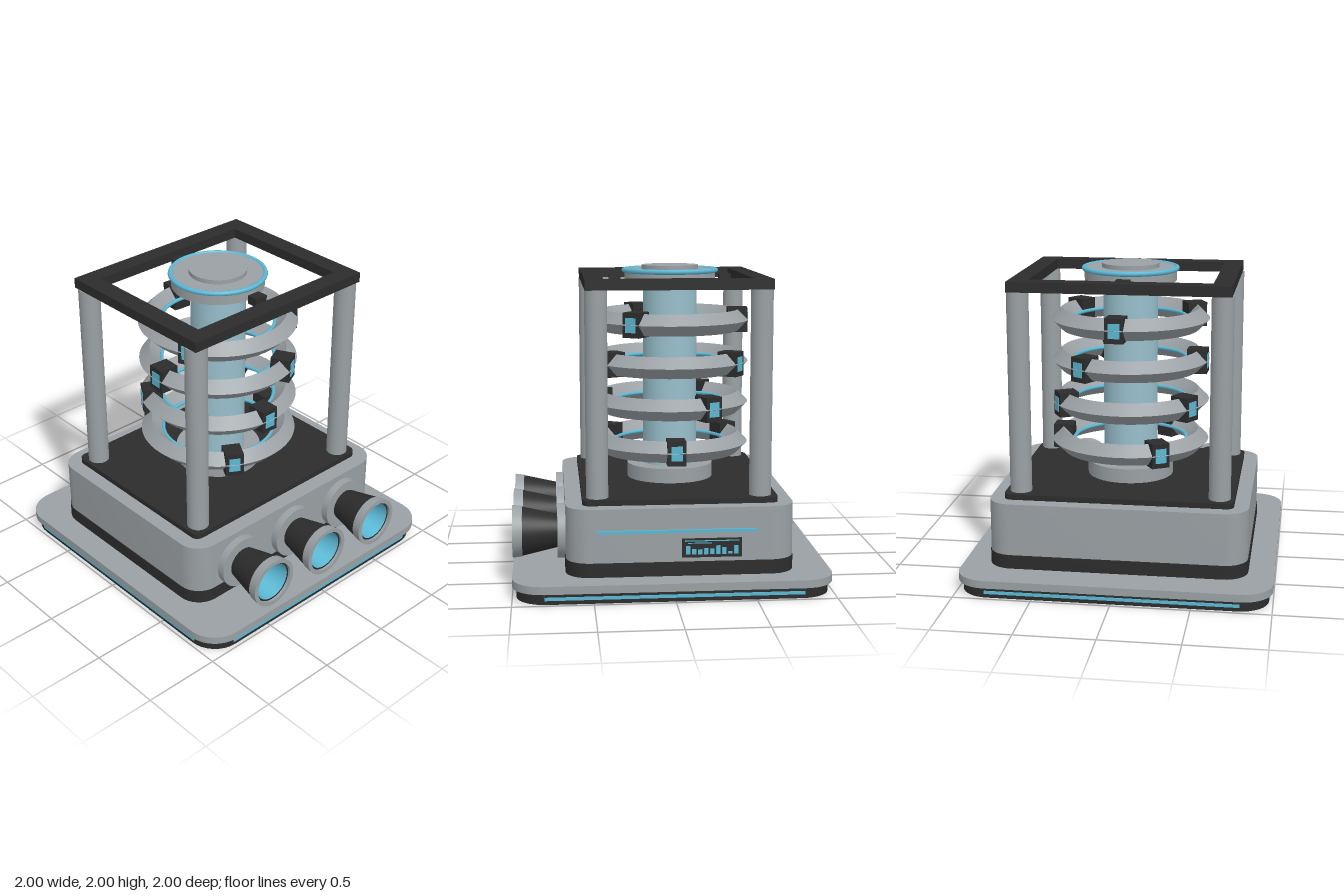
import * as THREE from 'three';
import { toCreasedNormals } from 'three/addons/utils/BufferGeometryUtils.js';

const mat = (name, color) => Object.assign(new THREE.MeshStandardMaterial({ color }), { name });

export function createModel() {
  const steel = mat('steel grey', 0x9aa0a4);
  const dark = mat('charcoal', 0x2c2c2c);
  const cyan = mat('glow cyan', 0x5bb8d4);
  const glass = mat('pale blue core', 0x98bfcc);
  const model = new THREE.Group();
  model.name = 'reactorMachine';

  const add = (parent, name, geo, material, x = 0, y = 0, z = 0) => {
    const m = new THREE.Mesh(geo, material);
    m.name = name;
    m.position.set(x, y, z);
    parent.add(m);
    return m;
  };
  const box = (parent, name, w, h, d, material, x, y, z) =>
    add(parent, name, new THREE.BoxGeometry(w, h, d), material, x, y, z);
  // upright cylinder from y0 to y1
  const cyl = (parent, name, r, y0, y1, material, x = 0, z = 0, seg = 48) =>
    add(parent, name, new THREE.CylinderGeometry(r, r, y1 - y0, seg), material, x, (y0 + y1) / 2, z);
  // flat ring lying in the horizontal plane
  const hoop = (r, tube, sides) => new THREE.TorusGeometry(r, tube, sides, 64).rotateX(Math.PI / 2);

  // slab with rounded plan corners, from y0 to y1
  const slab = (name, w, d, r, y0, y1, material, z = 0) => {
    const a = w / 2 - r, b = d / 2 - r, q = Math.PI / 2;
    const s = new THREE.Shape();
    [[a, b], [-a, b], [-a, -b], [a, -b]].forEach(([x, y], i) => s.absarc(x, y, r, i * q, (i + 1) * q));
    s.closePath();
    const geo = new THREE.ExtrudeGeometry(s, { depth: y1 - y0, bevelEnabled: false, curveSegments: 4 });
    return add(model, name, toCreasedNormals(geo.rotateX(-q), 0.6), material, 0, y0, z);
  };

  const CZ = -0.05; // the body and core sit slightly to the back

  // base and housing
  slab('baseFoot', 1.95, 1.95, 0.19, 0, 0.07, dark);
  slab('basePlate', 2, 2, 0.2, 0.07, 0.12, steel);
  slab('bodySkirt', 1.668, 1.438, 0.155, 0.12, 0.21, dark, CZ);
  slab('body', 1.66, 1.43, 0.15, 0.21, 0.55, steel, CZ);
  slab('deck', 1.47, 1.23, 0.05, 0.55, 0.585, dark, CZ - 0.005);
  for (const s of [-1, 1]) {
    box(model, 'baseLightStrip', 1.6, 0.02, 0.008, cyan, 0, 0.036, s * 0.977);
    box(model, 'baseLightStrip', 0.008, 0.02, 1.6, cyan, s * 0.977, 0.036, 0);
  }

  // side light strip and level display
  box(model, 'sideLightStrip', 0.02, 0.02, 0.995, cyan, 0.832, 0.405, -0.022);
  box(model, 'displayPanel', 0.016, 0.12, 0.375, dark, 0.83, 0.297, -0.237);
  box(model, 'displayLine', 0.004, 0.006, 0.34, cyan, 0.839, 0.342, -0.237);
  box(model, 'displayLine', 0.004, 0.005, 0.15, cyan, 0.839, 0.328, -0.16);
  [0.055, 0.035, 0.032, 0.038, 0.034, 0.055, 0.044, 0.016, 0.055].forEach((h, i) =>
    box(model, 'displayBar', 0.004, h, 0.026, cyan, 0.839, 0.256 + h / 2, -0.088 - i * 0.0375));

  // front nozzles, turned around the z axis
  const turned = (pts) => toCreasedNormals(
    new THREE.LatheGeometry(pts.map((p) => new THREE.Vector2(...p)), 48).rotateX(Math.PI / 2), 0.6);
  for (const x of [-0.475, 0, 0.475]) {
    const nozzle = new THREE.Group();
    nozzle.name = 'nozzle';
    nozzle.position.set(x, 0.335, 0);
    model.add(nozzle);
    const flange = new THREE.CylinderGeometry(0.175, 0.175, 0.055, 48).rotateX(Math.PI / 2);
    add(nozzle, 'nozzleFlange', flange, steel, 0, 0, 0.688);
    add(nozzle, 'nozzleCone', turned([[0.105, 0.71], [0.157, 0.94]]), dark);
    add(nozzle, 'nozzleRim', turned([[0.155, 0.938], [0.16, 0.938], [0.168, 1], [0.14, 1], [0.14, 0.98]]), steel);
    add(nozzle, 'nozzleSeal', turned([[0.14, 0.982], [0.128, 0.982]]), dark);
    add(nozzle, 'nozzleLining', turned([[0.128, 0.982], [0.09, 0.735]]), cyan);
    add(nozzle, 'nozzleBack', turned([[0.09, 0.735], [0, 0.735]]), steel);
  }

  // corner posts and top frame
  for (const sx of [-1, 1]) for (const sz of [-1, 1])
    cyl(model, 'cornerPost', 0.07, 0.58, 1.88, steel, sx * 0.64, CZ + sz * 0.515, 24);
  const rect = (P, w, d) => {
    const p = new P();
    p.moveTo(-w / 2, -d / 2).lineTo(w / 2, -d / 2).lineTo(w / 2, d / 2).lineTo(-w / 2, d / 2);
    p.closePath();
    return p;
  };
  const frame = rect(THREE.Shape, 1.4, 1.165);
  frame.holes.push(rect(THREE.Path, 1.155, 0.93));
  add(model, 'topFrame', new THREE.ExtrudeGeometry(frame, { depth: 0.065, bevelEnabled: false })
    .rotateX(-Math.PI / 2), dark, 0, 1.88, CZ);

  // core column with foot and cap
  const core = new THREE.Group();
  core.name = 'core';
  core.position.z = CZ;
  model.add(core);
  cyl(core, 'coreFoot', 0.285, 0.58, 0.68, steel);
  cyl(core, 'coreColumn', 0.178, 0.68, 1.9, glass);
  cyl(core, 'coreCap', 0.3, 1.885, 1.972, steel);
  cyl(core, 'coreCapButton', 0.187, 1.97, 2, steel);
  add(core, 'capLightRing', hoop(0.303, 0.016, 8), cyan, 0, 1.965, 0);
  for (const s of [-1, 1]) box(core, 'capBracket', 0.09, 0.055, 0.075, dark, 0, 1.91, s * 0.365);

  // coil rings, each turned a little further than the one below
  const ringGeo = toCreasedNormals(hoop(0.45, 0.07, 4), 0.6);
  const glowGeo = hoop(0.372, 0.012, 8);
  for (let i = 0; i < 4; i++) {
    const coil = new THREE.Group();
    coil.name = 'coil';
    coil.position.y = 0.826 + i * 0.271;
    core.add(coil);
    add(coil, 'coilRing', ringGeo, steel);
    add(coil, 'coilInnerLight', glowGeo, cyan);
    for (let k = 0; k < 3; k++) {
      const clamp = new THREE.Group();
      clamp.name = 'coilClamp';
      clamp.rotation.y = -Math.PI / 6 + i * 0.5 + k * Math.PI * 2 / 3;
      coil.add(clamp);
      box(clamp, 'clampBlock', 0.12, 0.16, 0.13, dark, 0, 0, 0.448);
      box(clamp, 'clampLight', 0.074, 0.095, 0.008, cyan, 0, 0, 0.513);
    }
  }
  return model;
}
